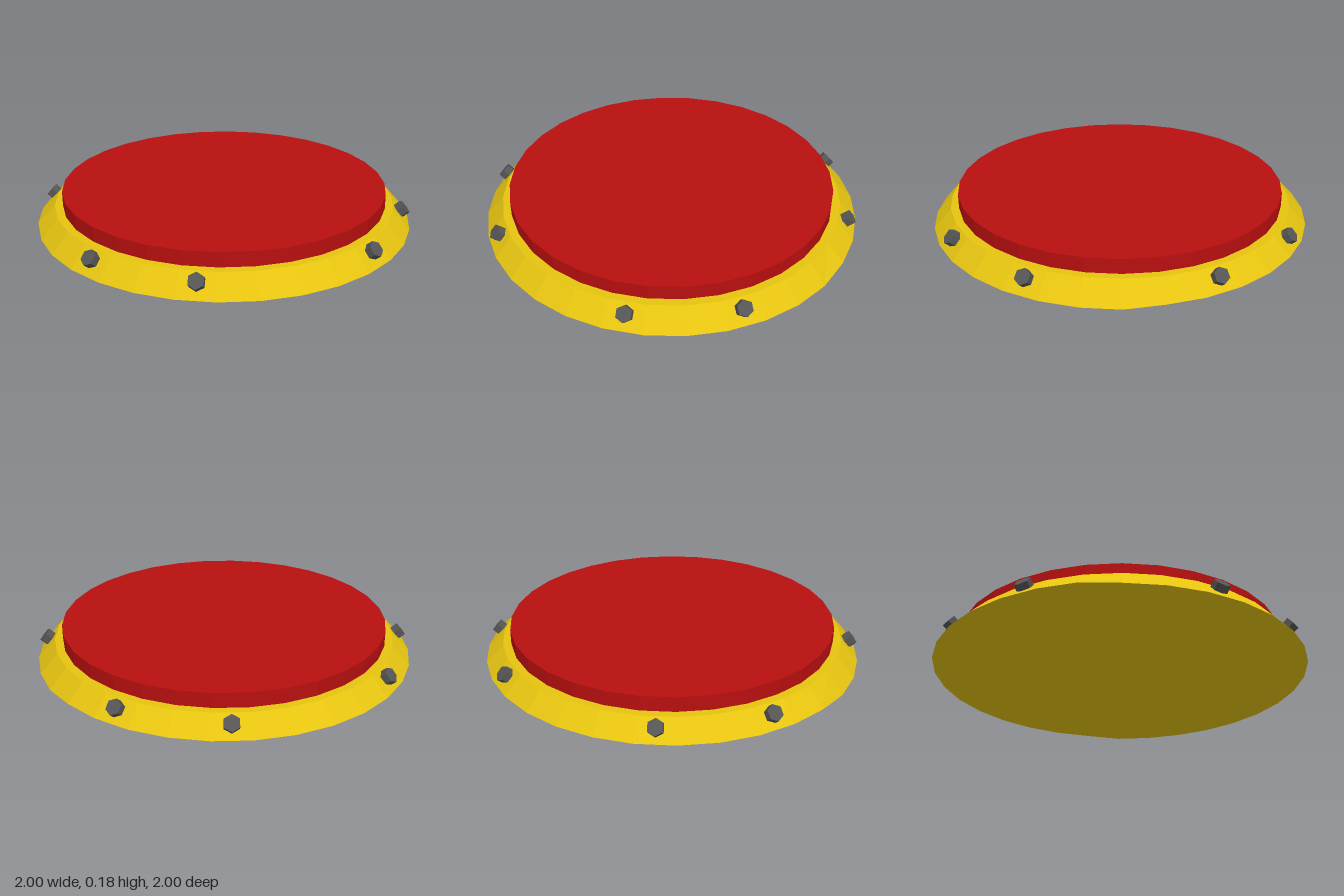
import * as THREE from 'three';

const SIDES = 32;
const material = (color) => new THREE.MeshStandardMaterial({ color, flatShading: true });

function addMesh(parent, name, geometry, mat) {
  const mesh = new THREE.Mesh(geometry, mat);
  mesh.name = name;
  parent.add(mesh);
  return mesh;
}

export function createModel() {
  const model = new THREE.Group();
  model.name = 'roundButton';
  const yellow = material(0xe6c410);
  const red = material(0xb80f0f);
  const dark = material(0x555555);

  // Sloped base ring; the rear half of its lower rim sits slightly higher
  const base = new THREE.CylinderGeometry(0.908, 1, 0.105, SIDES);
  base.translate(0, 0.0525, 0);
  const p = base.attributes.position;
  for (let i = 0; i < p.count; i++) {
    if (p.getY(i) < 0.01 && p.getZ(i) < -0.01) p.setY(i, 0.012);
  }
  base.computeVertexNormals();
  addMesh(model, 'base', base, yellow);

  // Raised round pad
  const pad = addMesh(model, 'pad', new THREE.CylinderGeometry(0.865, 0.865, 0.1, SIDES), red);
  pad.position.y = 0.132;

  // Hex bolts centred on facets of the slope, two per quadrant
  const boltGeometry = new THREE.CylinderGeometry(0.042, 0.042, 0.046, 6);
  for (let quadrant = 0; quadrant < 4; quadrant++) {
    for (const facet of [2.5, 5.5]) {
      const mount = new THREE.Group();
      mount.name = 'boltMount';
      mount.rotation.y = quadrant * Math.PI / 2 + facet * 2 * Math.PI / SIDES;
      const bolt = addMesh(mount, 'bolt', boltGeometry, dark);
      bolt.position.set(0, 0.074, 0.953);
      bolt.rotation.x = Math.atan2(0.105, 0.092);
      model.add(mount);
    }
  }
  return model;
}
